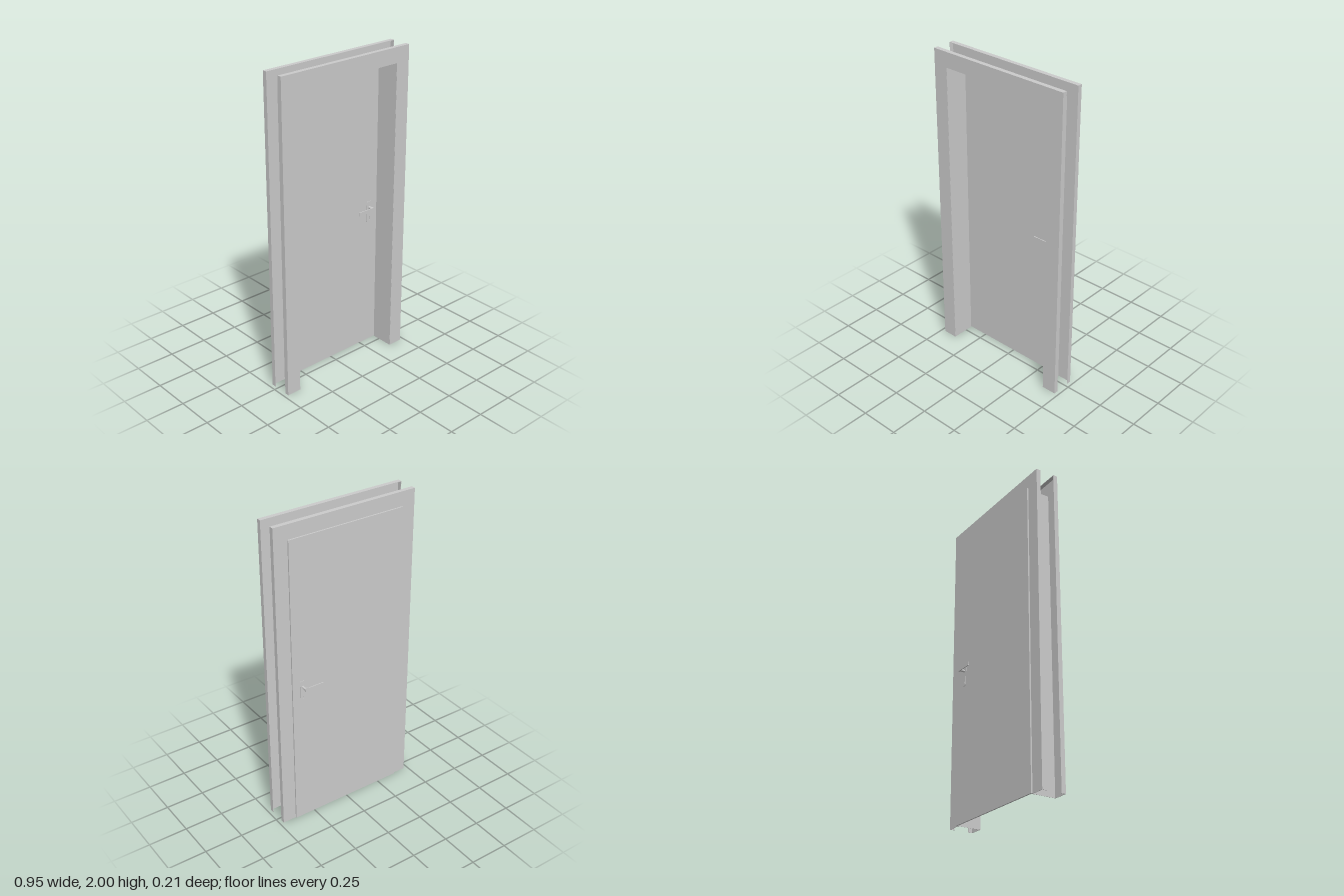
import * as THREE from 'three';

const material = new THREE.MeshStandardMaterial({ color: 0xcccccc });

function extrude(parent, name, shape, z0, z1) {
  const geo = new THREE.ExtrudeGeometry(shape, { depth: z1 - z0, bevelEnabled: false, curveSegments: 12 });
  const mesh = new THREE.Mesh(geo, material);
  mesh.name = name;
  mesh.position.z = z0;
  parent.add(mesh);
}

// Upside-down U, open at the floor
function portal(halfOut, topOut, halfIn, topIn) {
  return new THREE.Shape([
    [-halfOut, 0], [-halfIn, 0], [-halfIn, topIn], [halfIn, topIn],
    [halfIn, 0], [halfOut, 0], [halfOut, topOut], [-halfOut, topOut],
  ].map(([x, y]) => new THREE.Vector2(x, y)));
}

// Rectangle with rounded corners
function roundedRect(x0, y0, x1, y1, r) {
  const s = new THREE.Shape();
  s.absarc(x1 - r, y1 - r, r, 0, Math.PI / 2);
  s.absarc(x0 + r, y1 - r, r, Math.PI / 2, Math.PI);
  s.absarc(x0 + r, y0 + r, r, Math.PI, Math.PI * 1.5);
  s.absarc(x1 - r, y0 + r, r, Math.PI * 1.5, Math.PI * 2);
  return s;
}

// Lever, neck and lock plate on one face of the leaf; dir is the outward z
function addHandle(parent, name, face, dir) {
  const handle = new THREE.Group();
  handle.name = name;
  const slab = (part, shape, a, b) => {
    const z = [face + dir * a, face + dir * b].sort((p, q) => p - q);
    extrude(handle, part, shape, z[0], z[1]);
  };

  const plate = roundedRect(0.3, 0.86, 0.336, 1.0, 0.008);
  plate.holes.push(roundedRect(0.315, 0.875, 0.321, 0.895, 0.0029));
  slab('lockPlate', plate, 0, 0.003);

  const neck = new THREE.Mesh(new THREE.CylinderGeometry(0.008, 0.008, 0.042, 20), material);
  neck.name = 'handleNeck';
  neck.rotation.x = Math.PI / 2;
  neck.position.set(0.318, 0.96, face + dir * 0.021);
  handle.add(neck);

  // Flat blade that widens to a rounded end over the neck
  const lever = new THREE.Shape();
  lever.moveTo(0.2, 0.948);
  lever.lineTo(0.295, 0.948);
  lever.quadraticCurveTo(0.305, 0.948, 0.31, 0.945);
  lever.quadraticCurveTo(0.326, 0.94, 0.326, 0.96);
  lever.quadraticCurveTo(0.326, 0.98, 0.31, 0.975);
  lever.quadraticCurveTo(0.305, 0.971, 0.295, 0.971);
  lever.lineTo(0.2, 0.971);
  slab('lever', lever, 0.041, 0.046);
  parent.add(handle);
}

export function createModel() {
  const model = new THREE.Group();
  model.name = 'door';

  // Sheet frame: two faces with returned outer lips, joined by the jamb
  const t = 0.003;
  const face = portal(0.475, 2, 0.381, 1.905);
  const lip = portal(0.475, 2, 0.475 - t, 2 - t);
  const jamb = portal(0.382, 1.906, 0.38, 1.904);
  const frame = new THREE.Group();
  frame.name = 'frame';
  extrude(frame, 'frontCasing', face, 0.102 - t, 0.102);
  extrude(frame, 'frontCasingLip', lip, 0.074, 0.102 - t);
  extrude(frame, 'backCasing', face, -0.05, -0.05 + t);
  extrude(frame, 'backCasingLip', lip, -0.05 + t, -0.022);
  extrude(frame, 'jamb', jamb, -0.049, 0.101);
  model.add(frame);

  // Leaf closing the opening from behind
  const leaf = new THREE.Mesh(new THREE.BoxGeometry(0.772, 1.908, 0.009), material);
  leaf.name = 'leaf';
  leaf.position.set(0, 0.956, -0.0548);
  model.add(leaf);

  addHandle(model, 'backHandle', -0.0593, -1);
  addHandle(model, 'frontHandle', -0.0503, 1);
  return model;
}
